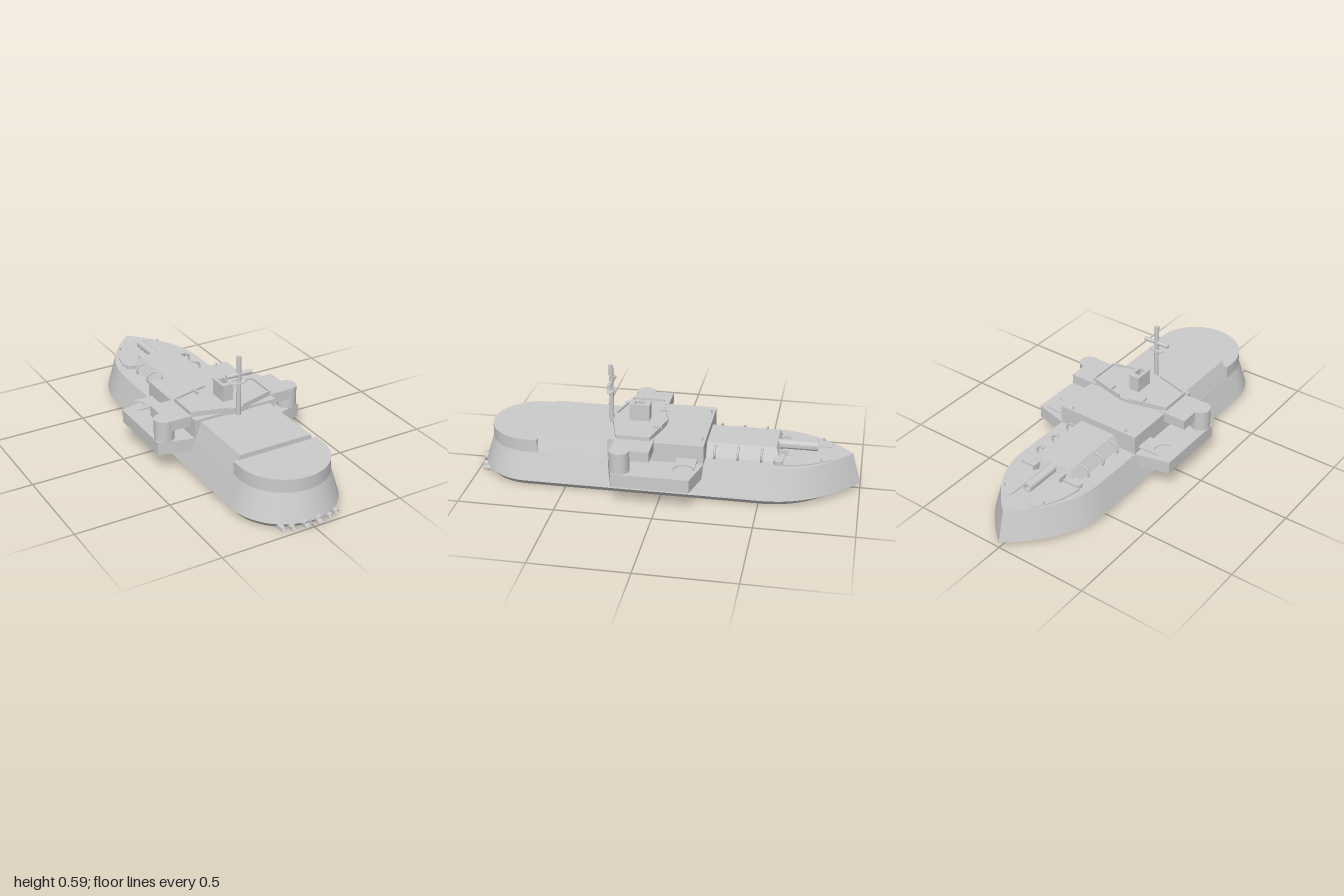
import * as THREE from 'three';
import { toCreasedNormals } from 'three/addons/utils/BufferGeometryUtils.js';

const grey = new THREE.MeshStandardMaterial({ color: 0xcccccc, side: THREE.DoubleSide });

export function createModel() {
  const ship = new THREE.Group();

  const add = (name, geo, x = 0, y = 0, z = 0) => {
    const mesh = new THREE.Mesh(geo, grey);
    mesh.name = name;
    mesh.position.set(x, y, z);
    ship.add(mesh);
    return mesh;
  };
  const box = (name, w, h, d, x, y, z) => add(name, new THREE.BoxGeometry(w, h, d), x, y, z);
  const rod = (r, len, sides = 20) => new THREE.CylinderGeometry(r, r, len, sides);

  // Plan shapes are drawn as [x, z] and extruded upwards
  const plan = (pts) => new THREE.Shape(pts.map(([x, z]) => new THREE.Vector2(x, -z)));
  const slab = (name, shape, y0, y1) => {
    const geo = new THREE.ExtrudeGeometry(shape, { depth: y1 - y0, bevelEnabled: false, curveSegments: 24 });
    geo.rotateX(-Math.PI / 2);
    return add(name, toCreasedNormals(geo, 0.5), 0, y0, 0);
  };
  const mirrorPts = (pts, s) => pts.map(([x, z]) => [x * s, z]);

  // Box whose top is narrower and may be raked at the bow end
  const taperedBox = (name, wBottom, wTop, y0, y1, zAft, zFore, zForeTop = zFore) => {
    const geo = new THREE.BoxGeometry(2, 1, 1);
    const p = geo.attributes.position;
    for (let i = 0; i < p.count; i++) {
      const top = p.getY(i) > 0;
      const z = p.getZ(i) > 0 ? zAft : top ? zForeTop : zFore;
      p.setXYZ(i, p.getX(i) * (top ? wTop : wBottom), top ? y1 : y0, z);
    }
    geo.computeVertexNormals();
    return add(name, geo);
  };

  // Hollow tube lying along z
  const tube = (name, rOut, rIn, len, x, y, z) => {
    const h = len / 2;
    const prof = [[0, -h], [rOut, -h], [rOut, h], [rIn, h], [rIn, -h * 0.6], [0, -h * 0.6]];
    const geo = new THREE.LatheGeometry(prof.map(([a, b]) => new THREE.Vector2(a, b)), 24);
    return add(name, toCreasedNormals(geo.rotateX(Math.PI / 2), 0.6), x, y, z);
  };

  // Half outline of the hull from bow point to stern
  const outline = (w, bow, stern) => {
    const pts = [], n = 28, mid = stern - w;
    for (let i = 0; i <= n; i++) {
      const t = 1 - i / n;
      pts.push([w * (1 - Math.pow(t, 2.25)), -0.5 + t * (bow + 0.5)]);
    }
    for (let i = 0; i <= n; i++) {
      const a = (i / n) * Math.PI / 2;
      pts.push([w * Math.cos(a), mid + w * Math.sin(a)]);
    }
    return pts;
  };

  // Hull lofted through bottom, chine and deck outlines, with a slight sheer forward
  const sheer = (z) => 0.175 + 0.02 * Math.max(0, (-z - 0.2) / 0.75);
  const levels = [
    { pts: outline(0.255, -0.93, 0.96), y: () => 0 },
    { pts: outline(0.282, -1, 0.987), y: () => 0.03 },
    { pts: outline(0.235, -0.955, 0.942), y: sheer },
  ];
  const tri = [];
  const quad = (a, b, c, d) => tri.push(...a, ...b, ...c, ...a, ...c, ...d);
  const at = (l, i, s) => [levels[l].pts[i][0] * s, levels[l].y(levels[l].pts[i][1]), levels[l].pts[i][1]];
  const last = levels[0].pts.length - 1;
  for (let i = 0; i < last; i++) {
    for (let l = 0; l < 2; l++) {
      quad(at(l, i, 1), at(l + 1, i, 1), at(l + 1, i + 1, 1), at(l, i + 1, 1));
      quad(at(l, i, -1), at(l, i + 1, -1), at(l + 1, i + 1, -1), at(l + 1, i, -1));
    }
    quad(at(0, i, -1), at(0, i, 1), at(0, i + 1, 1), at(0, i + 1, -1));
    quad(at(2, i, 1), at(2, i, -1), at(2, i + 1, -1), at(2, i + 1, 1));
  }
  const hullGeo = new THREE.BufferGeometry();
  hullGeo.setAttribute('position', new THREE.Float32BufferAttribute(tri, 3));
  add('hull', toCreasedNormals(hullGeo, 0.45));

  // Rounded stern deckhouse and the sloped-side house ahead of it
  const sternShape = plan([[-0.235, 0.65], [-0.235, 0.707]]);
  sternShape.absarc(0, -0.707, 0.235, Math.PI, Math.PI * 2, false);
  sternShape.lineTo(0.235, -0.65);
  slab('sternDeckhouse', sternShape, 0.17, 0.245);
  taperedBox('aftDeckhouse', 0.235, 0.2, 0.172, 0.27, 0.655, 0.27);

  // Central superstructure with a six-sided upper deck and bulwark
  box('superstructure', 0.47, 0.115, 0.495, 0, 0.2275, 0.0325);
  const roof = [[-0.235, 0.06], [-0.03, 0.01], [0.03, 0.01], [0.235, 0.06],
    [0.235, 0.235], [0.04, 0.29], [-0.04, 0.29], [-0.235, 0.235]];
  slab('upperDeck', plan(roof), 0.27, 0.301);
  for (const s of [1, -1]) {
    const wall = [[0.03, 0.01], [0.235, 0.06], [0.235, 0.235], [0.04, 0.29],
      [0.04, 0.282], [0.227, 0.229], [0.227, 0.066], [0.03, 0.018]];
    slab('bulwark', plan(mirrorPts(wall, s)), 0.3, 0.312);
  }

  // Funnel with an open top
  const rect = (w, z0, z1) => [[-w, z0], [w, z0], [w, z1], [-w, z1]];
  const funnel = plan(rect(0.029, 0.1, 0.205));
  funnel.holes.push(plan(rect(0.016, 0.125, 0.18)));
  slab('funnel', funnel, 0.295, 0.385);
  const rim = plan(rect(0.033, 0.097, 0.208));
  rim.holes.push(plan(rect(0.016, 0.125, 0.18)));
  slab('funnelRim', rim, 0.385, 0.392);

  // Mast, yard and lookout platform
  add('mast', rod(0.012, 0.325), 0, 0.4305, 0.305);
  add('yard', rod(0.011, 0.146), 0, 0.495, 0.305).rotation.z = Math.PI / 2;
  add('lookoutPlatform', rod(0.045, 0.005, 28), 0, 0.45, 0.305).scale.z = 0.45;

  // Forward casemate and main gun
  taperedBox('casemate', 0.15, 0.103, 0.17, 0.247, -0.2, -0.6, -0.57);
  tube('mainGun', 0.025, 0.016, 0.24, 0, 0.22, -0.655).rotation.y = Math.PI;

  for (const s of [1, -1]) {
    // Side sponson with angled ends
    const sponson = [[0.2, -0.22], [0.235, -0.215], [0.415, -0.17], [0.415, 0.225], [0.235, 0.277], [0.2, 0.28]];
    slab('sponson', plan(mirrorPts(sponson, s)), 0.113, 0.183);

    // Bridge wing resting on a round turret
    box('bridgeWing', 0.155, 0.055, 0.2, s * 0.2825, 0.2645, 0.14);
    add('wingTurret', rod(0.052, 0.112, 32), s * 0.361, 0.237, 0.19);

    // Thin shelf with a concave outer end
    const shelf = [[0.23, -0.185], [0.36, -0.185]];
    for (let i = 1; i < 12; i++) {
      const a = (i / 12) * Math.PI;
      shelf.push([0.36 - 0.052 * Math.sin(a), -0.133 - 0.052 * Math.cos(a)]);
    }
    shelf.push([0.36, -0.081], [0.23, -0.081]);
    slab('sideShelf', plan(mirrorPts(shelf, s)), 0.205, 0.212);

    // Curved boat davits beside the casemate
    for (const z of [-0.5, -0.38, -0.26]) {
      const curve = new THREE.CatmullRomCurve3([[0.152, 0.175], [0.164, 0.205], [0.152, 0.23], [0.115, 0.24]]
        .map(([x, y]) => new THREE.Vector3(s * x, y, z)));
      add('davit', new THREE.TubeGeometry(curve, 12, 0.006, 8));
    }

    // Low rounded gun platform, its post, and raised foredeck plate
    const pad = plan([[s * 0.09, -0.562], [s * 0.09, -0.612]]);
    pad.lineTo(s * 0.16, 0.612);
    pad.absarc(s * 0.16, 0.587, 0.025, Math.PI / 2, -Math.PI / 2, s > 0);
    slab('gunPlatform', pad, 0.18, 0.207);
    box('platformPost', 0.01, 0.04, 0.05, s * 0.082, 0.205, -0.605);
    const plate = [[0.05, -0.61], [0.05, -0.84], [0.09, -0.855], [0.135, -0.79], [0.17, -0.71], [0.19, -0.61]];
    slab('foredeckPlate', plan(mirrorPts(plate, s)), 0.175, 0.196);

    // Small fittings
    add('bowBollard', rod(0.005, 0.02, 8), s * 0.12, 0.2, -0.8);
    add('deckBollard', rod(0.005, 0.02, 8), s * 0.165, 0.292, -0.2);
    box('lightGun', 0.01, 0.012, 0.05, s * 0.1, 0.308, 0.045);

    // Stern tubes
    tube('largeSternTube', 0.022, 0.019, 0.1, s * 0.036, 0.026, 0.95);
    tube('smallSternTube', 0.014, 0.011, 0.1, s * 0.103, 0.016, 0.935);
    tube('smallSternTube', 0.014, 0.011, 0.1, s * 0.149, 0.016, 0.92);
  }
  return ship;
}
